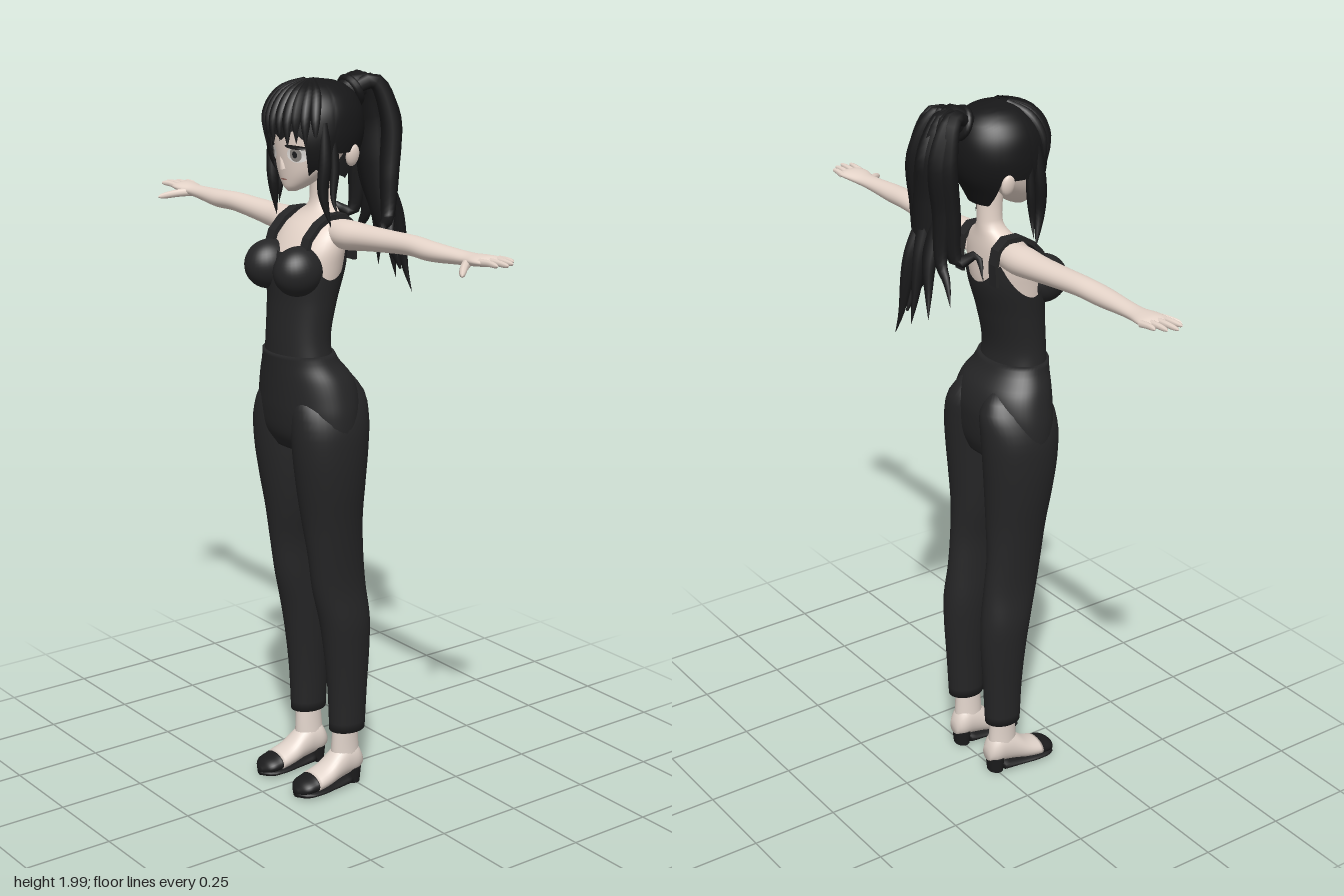
import * as THREE from 'three';

const mat = (name, color, double) => {
  const m = new THREE.MeshStandardMaterial({ color });
  m.name = name;
  if (double) m.side = THREE.DoubleSide;
  return m;
};

// Turns section keys [t, centreX, halfWidth, zFront, zBack] into a smooth lookup by t.
function sections(keys) {
  const f = new THREE.CubicInterpolant(keys.map(k => k[0]), keys.flatMap(k => k.slice(1)), 4, new Float32Array(4));
  return t => {
    const [cx, hx, zf, zb] = f.evaluate(t);
    return { cx, hx: Math.max(hx, 0.0005), zc: (zf + zb) / 2, hz: Math.max((zf - zb) / 2, 0.0005) };
  };
}

// Skins elliptical sections along y; lo and hi may vary with the angle to cut a shaped hem.
function loft(keys, { lo = keys[0][0], hi = keys[keys.length - 1][0], n = 40, rows = 28, cap = true } = {}) {
  const at = sections(keys), pos = [], idx = [];
  const val = (v, a) => (typeof v === 'function' ? v(a) : v);
  for (let j = 0; j <= rows; j++) for (let i = 0; i < n; i++) {
    const a = i / n * Math.PI * 2, l = val(lo, a), t = l + (val(hi, a) - l) * j / rows, s = at(t);
    pos.push(s.cx + s.hx * Math.cos(a), t, s.zc + s.hz * Math.sin(a));
  }
  for (let j = 0; j < rows; j++) for (let i = 0; i < n; i++) {
    const p = j * n + i, q = j * n + (i + 1) % n;
    idx.push(p, p + n, q, q, p + n, q + n);
  }
  if (cap) for (const [row, up] of [[0, 0], [rows, 1]]) {
    const t = val(up ? hi : lo, 0), s = at(t), c = pos.length / 3;
    pos.push(s.cx, t, s.zc);
    for (let i = 0; i < n; i++) {
      const p = row * n + i, q = row * n + (i + 1) % n;
      idx.push(...(up ? [c, q, p] : [c, p, q]));
    }
  }
  const g = new THREE.BufferGeometry();
  g.setAttribute('position', new THREE.Float32BufferAttribute(pos, 3));
  g.setIndex(idx);
  g.computeVertexNormals();
  return g;
}

// Tapered tube through points; profile(t) scales the radius.
const lockTaper = t => 0.55 + 0.45 * Math.sin(t * Math.PI) - 0.54 * t ** 3;
const fingerTaper = t => (1 - 0.3 * t) * Math.sqrt(Math.max(0, 1 - t ** 8));
function strand(pts, r, profile = lockTaper, n = 18, sides = 8) {
  const curve = new THREE.CatmullRomCurve3(pts.map(p => new THREE.Vector3(...p)));
  const g = new THREE.TubeGeometry(curve, n, r, sides), p = g.attributes.position, v = new THREE.Vector3();
  for (let i = 0; i < p.count; i++) {
    const t = Math.floor(i / (sides + 1)) / n, c = curve.getPointAt(t);
    v.fromBufferAttribute(p, i).sub(c).multiplyScalar(Math.max(profile(t), 0.01)).add(c);
    p.setXYZ(i, v.x, v.y, v.z);
  }
  return g;
}

function mirrored(geo) {
  const g = geo.clone().scale(-1, 1, 1);
  if (!g.index) g.setIndex([...Array(g.attributes.position.count).keys()]);
  const ix = g.index;
  for (let i = 0; i < ix.count; i += 3) {
    const b = ix.getX(i + 1);
    ix.setX(i + 1, ix.getX(i + 2));
    ix.setX(i + 2, b);
  }
  return g;
}

export function createModel() {
  const model = new THREE.Group();
  const skin = mat('skin', 0xe6d5ca), cloth = mat('black cloth', 0x252526, true), hair = mat('black hair', 0x171718, true);
  const shoe = mat('pale shoe', 0xe0d3ca), sole = mat('black shoe', 0x1c1c1d), white = mat('eye white', 0xeeeae6);
  const iris = mat('iris grey', 0x8a8580), lip = mat('lip', 0xa87a70);
  const add = (name, geo, m) => {
    const mesh = new THREE.Mesh(geo, m);
    mesh.name = name;
    model.add(mesh);
  };
  const pair = (name, geo, m) => {
    add(name + 'Left', geo, m);
    add(name + 'Right', mirrored(geo), m);
  };

  // Chest, shoulders and neck
  add('upperBody', loft([[1.4, 0, .1, .18, .03], [1.5, 0, .115, .178, .005], [1.56, 0, .12, .15, .002], [1.6, 0, .108, .12, .002],
    [1.63, 0, .07, .088, .004], [1.65, 0, .04, .076, .004], [1.68, 0, .033, .072, .004], [1.76, 0, .034, .08, .002]]), skin);

  // Tank top with scooped neck and armholes
  const neckline = a => {
    const t = Math.abs(Math.cos(a)), base = Math.sin(a) > 0 ? 1.535 : 1.5, peak = 1.565;
    return t < .65 ? base + (peak - base) * (t / .65) ** 2 : peak - .095 * ((t - .65) / .35);
  };
  add('tankTop', loft([[1.23, 0, .114, .198, .035], [1.3, 0, .105, .196, .043], [1.4, 0, .11, .19, .024], [1.5, 0, .123, .186, -.003],
    [1.57, 0, .126, .157, -.004]], { lo: 1.23, hi: neckline, n: 72, cap: false }), cloth);
  pair('bust', new THREE.SphereGeometry(1, 32, 24).scale(.06, .066, .07).rotateX(.15).translate(.066, 1.493, .165), cloth);
  const arch = [[.165, 1.53], [.148, 1.58], [.115, 1.615], [.078, 1.636], [.03, 1.636], [.0, 1.61], [-.009, 1.57], [-.006, 1.51]];
  const inner = arch.map(([z, y]) => [.07 + (z - .07) * .88, 1.5 + (y - 1.5) * .9]).reverse();
  const strapShape = new THREE.Shape([...arch, ...inner].map(([z, y]) => new THREE.Vector2(-z, y)));
  pair('shoulderStrap', new THREE.ExtrudeGeometry(strapShape, { depth: .032, bevelEnabled: false }).rotateY(Math.PI / 2).translate(.062, 0, 0), cloth);

  // Trousers
  add('trouserHips', loft([[1.0, 0, .15, .165, -.005], [1.04, 0, .172, .188, -.02], [1.1, 0, .175, .198, -.028], [1.15, 0, .166, .2, -.028],
    [1.2, 0, .149, .201, -.012], [1.24, 0, .125, .202, .02], [1.265, 0, .117, .203, .034]], { n: 56 }), cloth);
  pair('trouserLeg', loft([[.17, .0925, .043, .076, -.031], [.3, .0925, .0475, .082, -.038], [.42, .0925, .054, .095, -.045], [.5, .0925, .0575, .108, -.045],
    [.6, .089, .053, .132, -.034], [.7, .09, .056, .146, -.024], [.8, .086, .07, .16, -.021], [.9, .088, .082, .176, -.025],
    [1.0, .09, .088, .189, -.032], [1.08, .087, .087, .192, -.037], [1.15, .075, .07, .18, -.034], [1.2, .065, .04, .14, .0]], { rows: 40 }), cloth);

  // Arms and hands, built upright then laid along x
  pair('arm', loft([[.07, -1.586, .036, .088, .008], [.13, -1.586, .039, .094, .002], [.2, -1.589, .034, .086, .005], [.3, -1.595, .029, .08, .01],
    [.4, -1.6, .026, .078, .014], [.47, -1.598, .025, .08, .017], [.58, -1.6, .018, .07, .017], [.615, -1.601, .016, .07, .013],
    [.66, -1.605, .014, .079, .0], [.69, -1.606, .011, .074, -.004], [.7, -1.606, .006, .068, .0]], { n: 28, rows: 40 }).rotateZ(-Math.PI / 2), skin);
  [[.065, .748], [.044, .762], [.022, .75], [.003, .728]].forEach(([z, tip], i) =>
    pair('finger' + i, strand([[.675, 1.606, z], [.71, 1.609, z + .001], [tip, 1.608, z * 1.1]], .0095, fingerTaper, 12), skin));
  pair('thumb', strand([[.615, 1.598, .05], [.645, 1.592, .088], [.682, 1.58, .127]], .0125, fingerTaper, 12), skin);

  // Head
  const headKeys = [[1.694, 0, .01, .148, .12], [1.702, 0, .026, .155, .1], [1.72, 0, .05, .16, .07], [1.745, 0, .072, .164, .04], [1.78, 0, .09, .168, .0],
    [1.83, 0, .102, .172, -.03], [1.88, 0, .104, .17, -.045], [1.93, 0, .085, .145, -.03]];
  add('head', loft(headKeys), skin);
  add('nose', new THREE.ConeGeometry(.011, .032, 12).rotateX(.35).translate(0, 1.772, .168), skin);
  pair('ear', new THREE.SphereGeometry(1, 16, 12).scale(.012, .03, .02).rotateZ(-.2).translate(.108, 1.79, .02), skin);

  // Face details laid on the curve of the face
  const face = sections(headKeys);
  const patch = (x, y, w, h, off, tilt = 0) => {
    const g = new THREE.CircleGeometry(1, 24).scale(w, h, 1).rotateZ(tilt).translate(x, y, 0), p = g.attributes.position;
    for (let i = 0; i < p.count; i++) {
      const s = face(p.getY(i));
      p.setZ(i, s.zc + s.hz * Math.sqrt(Math.max(0, 1 - (p.getX(i) / s.hx) ** 2)) + off);
    }
    g.computeVertexNormals();
    return g;
  };
  pair('eyeWhite', patch(.05, 1.795, .026, .02, .002), white);
  pair('iris', patch(.049, 1.796, .0145, .0185, .004), iris);
  pair('pupil', patch(.049, 1.796, .006, .009, .006), sole);
  pair('upperLash', patch(.052, 1.815, .03, .0055, .006, -.08), sole);
  add('mouth', patch(0, 1.727, .014, .0025, .002), lip);

  // Hair cap: zigzag fringe, long temples, clear of the ears, low at the nape
  const hairline = a => {
    const s = Math.sin(a), tooth = Math.abs((i => i - Math.floor(i) - .5)(a * 96 / (Math.PI * 16)));
    if (s > .7) return 1.835 + .05 * tooth;
    if (s > .15) return 1.735 + .05 * tooth;
    if (s > -.5) return 1.8;
    return 1.8 - .08 * Math.min(1, (-.5 - s) / .3);
  };
  add('hairCap', loft([[1.69, 0, .06, .12, .0], [1.75, 0, .104, .175, -.03], [1.8, 0, .121, .195, -.058], [1.86, 0, .126, .197, -.07], [1.92, 0, .112, .182, -.058],
    [1.955, 0, .083, .152, -.032], [1.975, 0, .045, .115, .01], [1.983, 0, .003, .07, .064]], { lo: hairline, hi: 1.983, n: 96, rows: 30, cap: false }), hair);
  for (let i = -5; i <= 5; i++) {
    const a = i * .2, x = Math.sin(a), z = Math.cos(a);
    add('fringeLock', strand([[x * .02, 1.975, .07 + z * .02], [x * .085, 1.945, .062 + z * .092], [x * .117, 1.89, .063 + z * .128],
      [x * .122, 1.822 + .012 * (i & 1) - .012 * Math.abs(i) / 5, .064 + z * .13]], .018), hair);
  }
  pair('sideLock', strand([[.108, 1.88, .11], [.117, 1.78, .115], [.112, 1.7, .118], [.122, 1.61, .1]], .018), hair);
  pair('thinSideLock', strand([[.112, 1.86, .085], [.118, 1.76, .085], [.12, 1.68, .09], [.132, 1.64, .085]], .013), hair);

  // Ponytail
  add('ponytailCore', strand([[0, 1.93, -.03], [0, 1.952, -.085], [.005, 1.88, -.125], [.01, 1.75, -.135], [.02, 1.6, -.155], [.035, 1.45, -.2]], .057,
    t => .6 + .42 * Math.sin(Math.min(1, t * 1.6) * Math.PI * .6) - .95 * t ** 2.5, 32, 14), hair);
  const tips = [[.15, 1.53, -.08], [.1, 1.5, -.14], [.055, 1.387, -.225], [.01, 1.42, -.205], [-.05, 1.45, -.19], [-.115, 1.5, -.165], [-.14, 1.56, -.08]];
  tips.forEach(([x, y, z], i) => add('ponytailLock', strand([[x * .1, 1.94, -.04], [x * .3, 1.966, -.1], [x * .45, 1.87, -.135 - .02 * (i % 2)],
    [x * .48, 1.73, -.13 - .018 * (i % 2)], [x * .55, 1.6, (z - .15) / 2], [x * .75, y + .06, z * .95], [x, y, z]], .03, lockTaper, 30), hair));
  add('hairTie', new THREE.TorusGeometry(.036, .012, 10, 24).rotateX(.4).translate(0, 1.94, -.055), hair);

  // Shoes, built upright then laid along z
  const footKeys = [[-.026, .085, .02, -.04, -.085], [-.01, .085, .032, -.03, -.115], [.03, .086, .036, -.025, -.128], [.06, .087, .038, -.02, -.11],
    [.1, .088, .042, -.012, -.078], [.15, .088, .044, -.008, -.057], [.185, .088, .034, -.008, -.043], [.2, .088, .01, -.012, -.026]];
  const along = opt => loft(footKeys, { n: 28, rows: 20, ...opt }).rotateX(Math.PI / 2);
  pair('shoeUpper', along({ hi: .145 }), shoe);
  pair('toeCap', along({ lo: .145 }), sole);
  pair('ankle', loft([[.07, .086, .034, .07, -.02], [.12, .087, .031, .068, -.016], [.2, .09, .03, .062, -.01]], { n: 24, rows: 8 }), shoe);
  pair('shoeSole', loft([[.02, .087, .034, 0, -.03], [.08, .088, .04, 0, -.024], [.14, .088, .046, 0, -.022], [.185, .088, .034, 0, -.022],
    [.199, .088, .01, -.003, -.018]], { n: 24, rows: 12 }).rotateX(Math.PI / 2), sole);
  pair('heel', new THREE.CylinderGeometry(.032, .027, .046, 20).scale(1, 1, .8).translate(.086, .023, .002), sole);

  return model;
}
